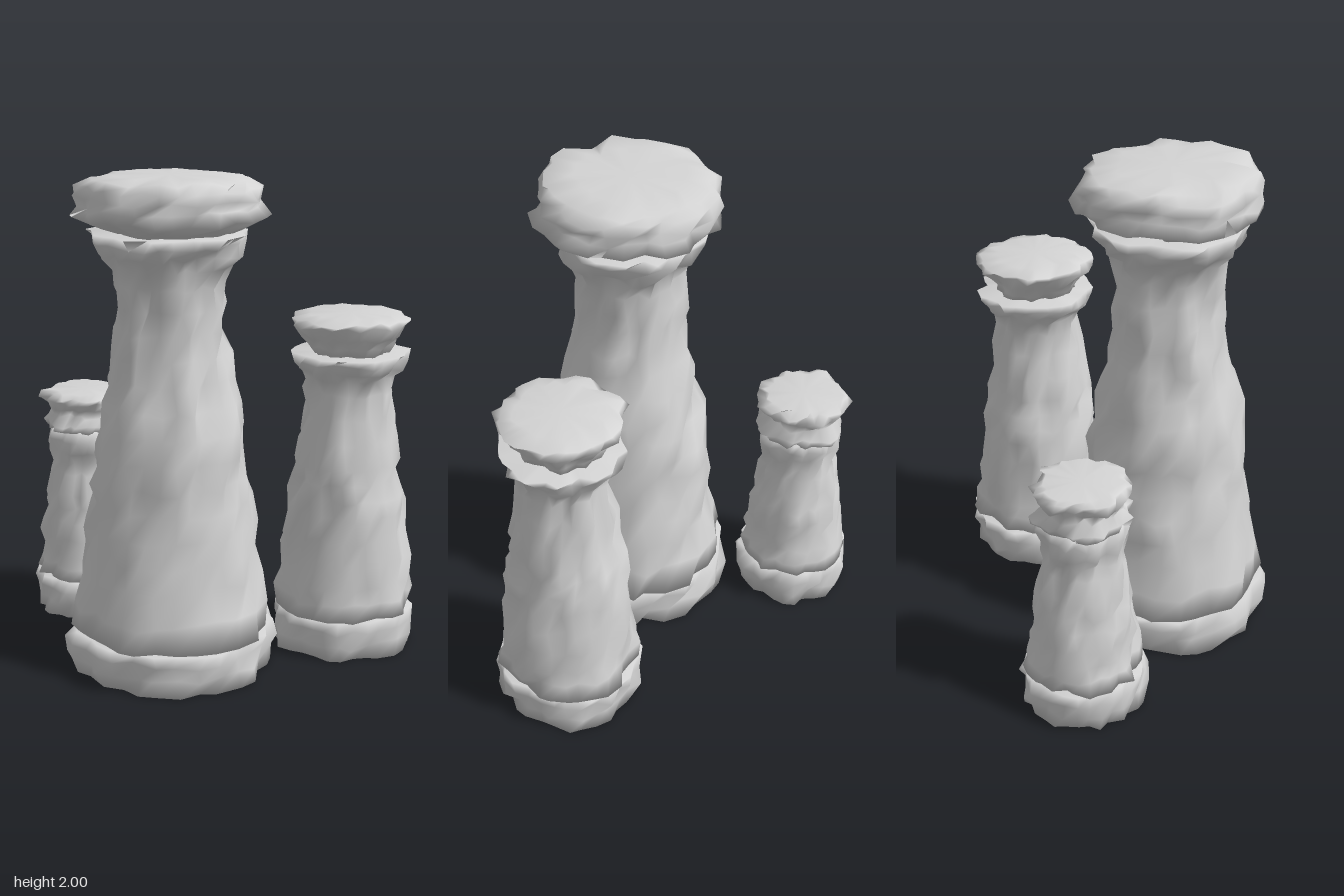
import * as THREE from 'three';

const SEG = 30;

// Small seeded random generator, returning -1..1
function seeded(seed) {
  let s = seed;
  return () => {
    s = (s * 16807) % 2147483647;
    return (s / 2147483647) * 2 - 1;
  };
}

// Closed weathered solid of revolution; profile is [radius, y] from bottom to top
function rockGeometry(profile, rough, seed, step) {
  const rand = seeded(seed);
  const yMin = profile[0][1], yMax = profile[profile.length - 1][1];

  // Subdivide the long stretches of the profile
  const rings = [];
  profile.forEach(([r, y], i) => {
    rings.push([r, y]);
    if (i === profile.length - 1) return;
    const [r2, y2] = profile[i + 1];
    const n = Math.max(1, Math.round((y2 - y) / step));
    for (let k = 1; k < n; k++) rings.push([r + (r2 - r) * k / n, y + (y2 - y) * k / n]);
  });

  // Rough up each ring with lumps and random chips
  const pos = [0, yMin, 0];
  const lump = rand() * 3;
  rings.forEach(([r, y]) => {
    const flat = y === yMin || y === yMax;
    for (let j = 0; j < SEG; j++) {
      const a = j / SEG * Math.PI * 2;
      const wave = 0.2 * Math.sin(a * 4 + lump + y * 9) + 0.2 * Math.sin(a * 7 - lump * 2 + y * 14);
      const rr = r + rough * (wave + 0.9 * rand());
      const t = a + rand() * 0.06;
      const yy = flat ? y : Math.min(yMax, Math.max(yMin, y + rand() * rough * 0.4));
      pos.push(Math.cos(t) * rr, yy, Math.sin(t) * rr);
    }
  });
  pos.push(0, yMax, 0);

  const index = [];
  const at = (i, j) => 1 + i * SEG + (j % SEG);
  const last = rings.length - 1, top = 1 + rings.length * SEG;
  for (let j = 0; j < SEG; j++) {
    index.push(0, at(0, j), at(0, j + 1));
    for (let i = 0; i < last; i++) {
      index.push(at(i, j), at(i + 1, j), at(i, j + 1));
      index.push(at(i + 1, j), at(i + 1, j + 1), at(i, j + 1));
    }
    index.push(top, at(last, j + 1), at(last, j));
  }
  const g = new THREE.BufferGeometry();
  g.setAttribute('position', new THREE.Float32BufferAttribute(pos, 3));
  g.setIndex(index);
  g.computeVertexNormals();
  return g;
}

// Each pillar: a swollen footing, a tapering column with flared collar, and a balanced capstone
const PILLARS = [
  {
    name: 'tallPillar', x: -0.1, z: 0.18, rough: 0.03, step: 0.09,
    footing: [[0.405, 0], [0.415, 0.06], [0.42, 0.12], [0.41, 0.17]],
    column: [[0.405, 0.17], [0.385, 0.27], [0.36, 0.4], [0.33, 0.6], [0.31, 0.8], [0.285, 1.0],
      [0.235, 1.2], [0.205, 1.4], [0.205, 1.58], [0.225, 1.65], [0.27, 1.7], [0.29, 1.74], [0.305, 1.78]],
    cap: [[0.21, 1.775], [0.26, 1.8], [0.37, 1.84], [0.345, 1.88], [0.355, 1.92], [0.34, 1.955],
      [0.32, 1.985], [0.22, 2.0]],
  },
  {
    name: 'middlePillar', x: 0.56, z: -0.2, rough: 0.025, step: 0.08,
    footing: [[0.285, 0], [0.29, 0.06], [0.295, 0.12], [0.29, 0.17]],
    column: [[0.285, 0.17], [0.27, 0.3], [0.26, 0.4], [0.24, 0.6], [0.21, 0.8], [0.175, 1.0],
      [0.165, 1.1], [0.175, 1.16], [0.215, 1.2], [0.225, 1.23], [0.24, 1.26]],
    cap: [[0.15, 1.255], [0.17, 1.29], [0.195, 1.33], [0.245, 1.385], [0.23, 1.4], [0.165, 1.42]],
  },
  {
    name: 'smallPillar', x: -0.62, z: -0.33, rough: 0.022, step: 0.07,
    footing: [[0.225, 0], [0.235, 0.06], [0.24, 0.12], [0.23, 0.17]],
    column: [[0.225, 0.17], [0.21, 0.28], [0.19, 0.42], [0.175, 0.55], [0.155, 0.64], [0.145, 0.69],
      [0.16, 0.74], [0.17, 0.79], [0.16, 0.84]],
    cap: [[0.17, 0.835], [0.185, 0.86], [0.145, 0.9], [0.16, 0.93], [0.19, 0.965], [0.175, 0.985], [0.15, 1.0]],
  },
];

export function createModel() {
  const model = new THREE.Group();
  model.name = 'rockPillars';
  const stone = new THREE.MeshStandardMaterial({ color: 0xd4d4d4 });
  stone.name = 'greyStone';

  PILLARS.forEach((p, i) => {
    const pillar = new THREE.Group();
    pillar.name = p.name;
    pillar.position.set(p.x, 0, p.z);
    ['footing', 'column', 'cap'].forEach((part, k) => {
      const mesh = new THREE.Mesh(rockGeometry(p[part], p.rough, 7919 * (i * 3 + k + 1), p.step), stone);
      mesh.name = part;
      pillar.add(mesh);
    });
    model.add(pillar);
  });
  return model;
}
